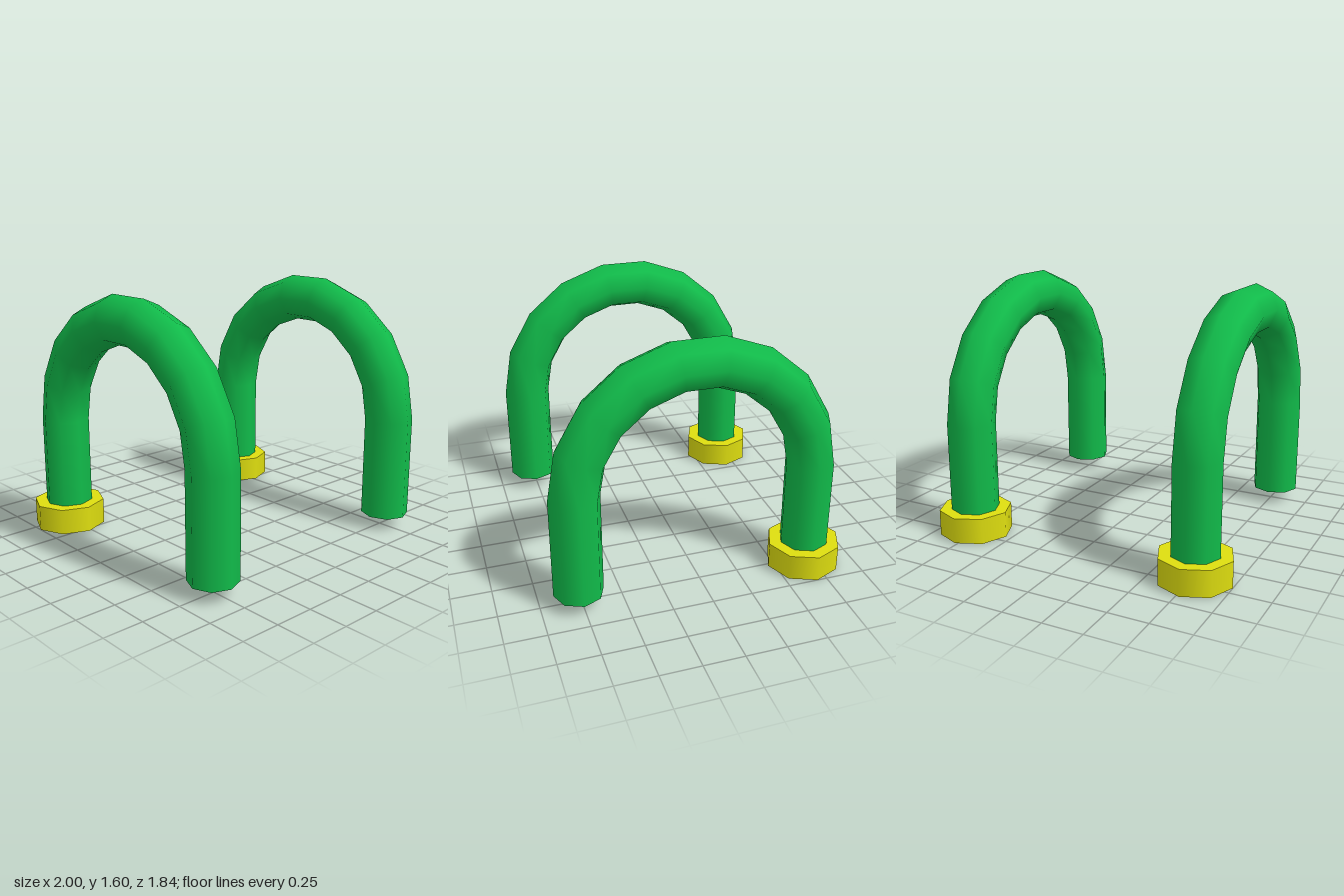
import * as THREE from 'three';

const SIDES = 8;
const TUBE = 0.1525;       // pipe radius
const BEND = 0.7275;       // radius of the arch centre line
const MID_Z = 0.04;        // centre of the arch
const SPRING_Y = 0.73;     // height where the straight legs meet the arch
const FOOT_Y = 0.085;      // lower end of the legs
const COLLAR_H = 0.165;

const green = new THREE.MeshStandardMaterial({ color: 0x11bb4a });
green.name = 'pipeGreen';
const yellow = new THREE.MeshStandardMaterial({ color: 0xdede10 });
yellow.name = 'collarYellow';

function addMesh(parent, name, geometry, material, y, z) {
  const mesh = new THREE.Mesh(geometry, material);
  mesh.name = name;
  mesh.position.set(0, y, z);
  parent.add(mesh);
}

function createPipe(name, x) {
  const pipe = new THREE.Group();
  pipe.name = name;
  pipe.position.x = x;

  // Half-ring arch running front to back
  const arch = new THREE.TorusGeometry(BEND, TUBE, SIDES, 9, Math.PI).rotateY(-Math.PI / 2);
  addMesh(pipe, 'arch', arch, green, SPRING_Y, MID_Z);

  // Straight legs, closed at the bottom
  const length = SPRING_Y - FOOT_Y;
  for (const [end, side] of [['front', 1], ['back', -1]]) {
    const z = MID_Z + side * BEND;
    const leg = new THREE.CylinderGeometry(TUBE, TUBE, length, SIDES, 1, true);
    addMesh(pipe, end + 'Leg', leg, green, FOOT_Y + length / 2, z);
    const cap = new THREE.CircleGeometry(TUBE, SIDES).rotateX(Math.PI / 2);
    addMesh(pipe, end + 'LegEnd', cap, green, FOOT_Y, z);
  }

  // Octagonal collar around the back foot
  const collar = new THREE.CylinderGeometry(0.23, 0.23, COLLAR_H, SIDES);
  addMesh(pipe, 'collar', collar, yellow, COLLAR_H / 2, MID_Z - BEND);
  return pipe;
}

export function createModel() {
  const model = new THREE.Group();
  model.name = 'archedPipes';
  model.add(createPipe('leftPipe', 0.77), createPipe('rightPipe', -0.77));
  return model;
}
